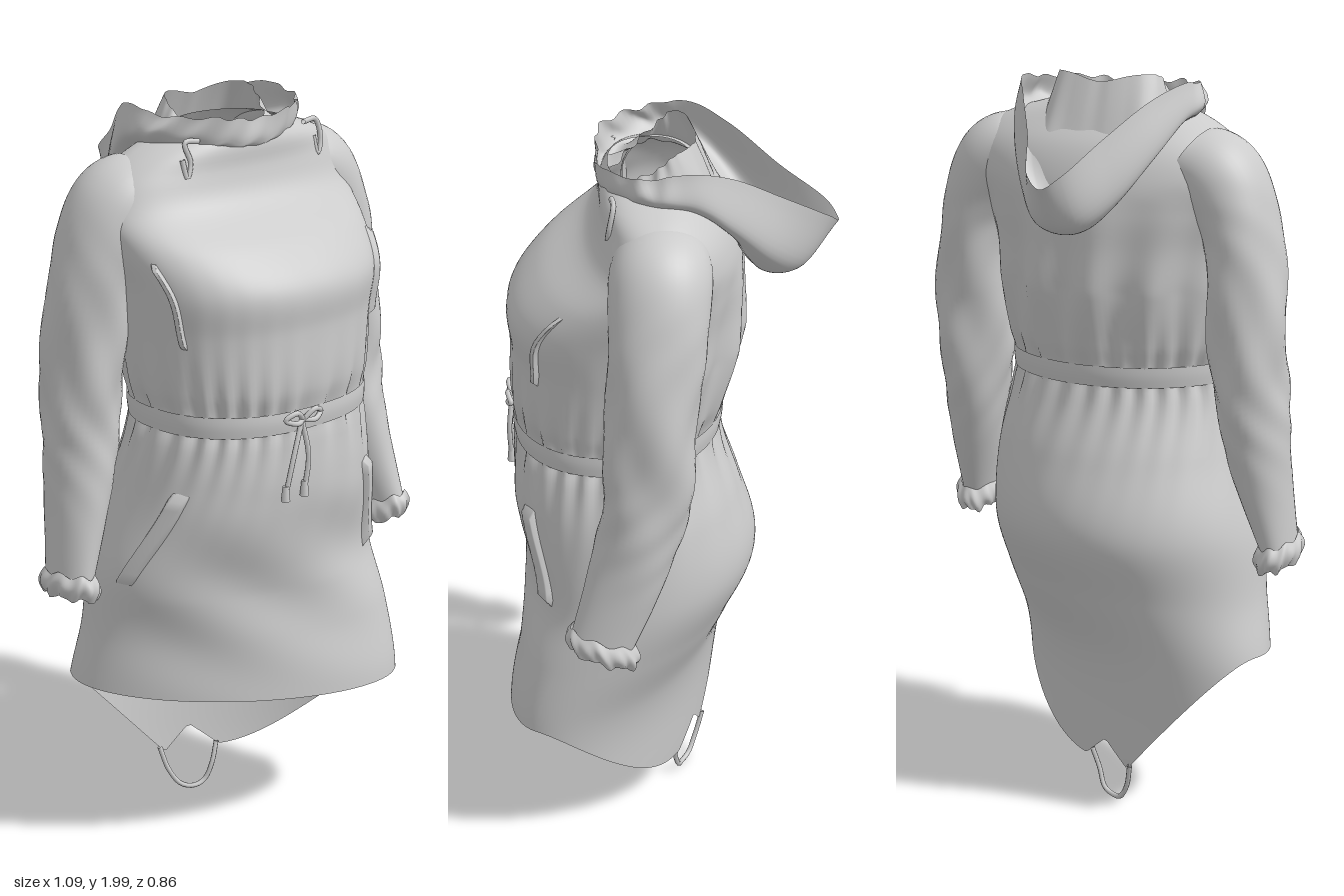
import * as THREE from 'three';

const material = new THREE.MeshStandardMaterial({ color: 0xcccccc, side: THREE.DoubleSide, roughness: 0.9 });
const V = (x, y, z) => new THREE.Vector3(x, y, z);
const WAIST = 1.22;

// Surface from a rule fn(u, v); u wraps round when closed
function surface(name, fn, nu, nv, closed = true) {
  const pos = [], idx = [], cols = closed ? nu : nu + 1;
  for (let j = 0; j <= nv; j++)
    for (let i = 0; i < cols; i++) pos.push(...fn(i / nu, j / nv).toArray());
  for (let j = 0; j < nv; j++)
    for (let i = 0; i < nu; i++) {
      const k = (i + 1) % cols;
      const a = j * cols + i, b = j * cols + k, c = a + cols, d = b + cols;
      idx.push(a, b, c, b, d, c);
    }
  const g = new THREE.BufferGeometry();
  g.setAttribute('position', new THREE.Float32BufferAttribute(pos, 3));
  g.setIndex(idx);
  g.computeVertexNormals();
  const m = new THREE.Mesh(g, material);
  m.name = name;
  return m;
}

// Smooth lookup in a table whose first column is the key
function table(rows) {
  const n = rows[0].length - 1;
  const f = new THREE.CubicInterpolant(rows.map(r => r[0]), rows.flatMap(r => r.slice(1)), n, new Array(n));
  return t => f.evaluate(t);
}

function tube(name, pts, r = 0.006) {
  const m = new THREE.Mesh(new THREE.TubeGeometry(new THREE.CatmullRomCurve3(pts), 28, r, 7), material);
  m.name = name;
  return m;
}

// Body sections: height, centre x, centre z, half width, front depth, back depth, twist
const section = table([
  [0.1, -0.03, 0.14, 0.43, 0.21, 0.20, 0.48],
  [0.44, -0.045, 0.14, 0.45, 0.215, 0.25, 0.48],
  [0.62, -0.03, 0.13, 0.42, 0.225, 0.31, 0.38],
  [0.8, -0.02, 0.10, 0.395, 0.26, 0.345, 0.2],
  [1.0, 0, 0.10, 0.355, 0.295, 0.30, 0.06],
  [1.16, 0, 0.12, 0.32, 0.27, 0.265, 0],
  [1.22, 0, 0.12, 0.305, 0.26, 0.255, 0],
  [1.3, 0, 0.11, 0.325, 0.285, 0.27, 0],
  [1.45, 0, 0.10, 0.345, 0.295, 0.295, 0],
  [1.56, 0, 0.10, 0.36, 0.295, 0.30, 0],
  [1.65, 0, 0.07, 0.38, 0.25, 0.27, 0],
  [1.74, 0.005, 0.02, 0.39, 0.18, 0.205, 0],
  [1.82, 0.015, 0.01, 0.355, 0.155, 0.16, 0],
  [1.88, 0.02, 0.02, 0.265, 0.14, 0.12, 0],
  [1.92, 0.01, 0.03, 0.14, 0.11, 0.10, 0],
]);

// Point on the body at angle a and height y, pushed out by off; the bodice front is squarer
function bodyPoint(a, y, off = 0) {
  const [cx, cz, w, f, b, rot] = section(y);
  const front = Math.sin(a) > 0;
  const e = front ? 1 - 0.15 * THREE.MathUtils.smoothstep(y, 0.6, 1.1) : 1;
  const power = c => Math.sign(c) * Math.abs(c) ** e;
  const lx = (w + off) * power(Math.cos(a));
  const lz = ((front ? f : b) + off) * power(Math.sin(a));
  const c = Math.cos(rot), s = Math.sin(rot);
  return V(cx + lx * c - lz * s, y, cz + lx * s + lz * c);
}

// Gathers at the waist, loose folds across the back and soft drapes on the skirt
function folds(a, y) {
  const near = Math.exp(-Math.abs(y - WAIST) / 0.08);
  const gather = 0.013 * near * Math.sin(27 * a + 2 * Math.sin(3 * a) + 5 * y);
  const band = Math.max(0, 1 - Math.abs(y - 1.45) / 0.25);
  const back = Math.sin(a) < 0 ? 0.016 * band * -Math.sin(a) * Math.sin(13 * a + 7 * y) : 0;
  const low = Math.max(0, 1 - Math.abs(y - 0.75) / 0.3);
  const drape = Math.sin(a) > 0 ? 0.008 * low * Math.sin(a) * Math.sin(24 * y + 6 * Math.cos(a)) : 0;
  return gather + back + drape;
}

// Straight front hem, long tapering back with an off-centre notch
function hem(a) {
  const edge = 0.45 - 0.03 * Math.cos(a);
  if (Math.sin(a) >= 0) return edge;
  const s = Math.cos(a) + 0.2;
  const d = s > 0 ? s / 1.2 : -s / 0.8, tip = s > 0 ? 0.16 : 0.22;
  if (d < tip) return 0.185 - 0.07 * d / tip;
  return 0.115 + (edge - 0.115) * ((d - tip) / (1 - tip)) ** (s > 0 ? 1.9 : 1.05);
}

// Raised patch that follows the body, leaning by slant in angle
function patch(name, a, da, y0, y1, slant) {
  return surface(name, (u, v) => {
    const border = Math.min(u, 1 - u, v, 1 - v) < 0.01;
    const ang = a + (u - 0.5) * da + (v - 0.5) * slant;
    return bodyPoint(ang, y0 + (y1 - y0) * v, border ? -0.005 : 0.014);
  }, 8, 12, false);
}

// Sleeve rows: step, x, y, z, half thickness, half depth; ends in a ruffled cuff
function sleeve(name, side, rows) {
  const at = table(rows), last = rows.length - 1, g = new THREE.Group();
  g.name = name;
  const ring = (u, t, out) => {
    const p = [...at(t)], q = [...at(Math.min(t + 0.03, last))], o = [...at(Math.max(t - 0.03, 0))];
    const tan = V(q[0] - o[0], q[1] - o[1], q[2] - o[2]).normalize();
    const across = V(0, 0, 1).cross(tan).normalize(), deep = tan.clone().cross(across);
    const a = u * Math.PI * 2;
    const pt = V(p[0], p[1], p[2]).addScaledVector(across, (p[3] + out) * Math.cos(a))
      .addScaledVector(deep, (p[4] + out) * Math.sin(a));
    pt.x *= side;
    return pt;
  };
  g.add(surface(name + 'Cloth', (u, v) => {
    const t = v * last, a = u * Math.PI * 2;
    const elbow = Math.exp(-(((t - 3.4) / 1.2) ** 2));
    const crease = 0.006 * Math.sin(3 * a + 3 * t) + 0.004 * Math.sin(5 * a - 7 * t + 2 * Math.sin(2 * t));
    return ring(u, t, crease * elbow);
  }, 40, 80));
  g.add(surface(name + 'Cuff', (u, v) => {
    const a = u * Math.PI * 2, bulge = Math.sin(v * Math.PI);
    const pt = ring(u, last, 0.003 + 0.014 * bulge + 0.006 * Math.sin(13 * a + 4 * v) * v);
    pt.y += 0.012 - 0.065 * v + 0.006 * Math.sin(7 * a);
    return pt;
  }, 72, 10));
  return g;
}

// Hood laid back: four loops (half given, mirrored) from the rim to the raised neck edge
function hood() {
  const halves = [
    [[0, 1.94, .165], [.12, 1.955, .16], [.22, 1.96, .06], [.225, 1.975, -.06], [.175, 1.94, -.16], [.1, 1.855, -.29], [.045, 1.78, -.41], [0, 1.75, -.435]],
    [[0, 1.89, .17], [.13, 1.9, .145], [.245, 1.915, .04], [.235, 1.89, -.07], [.2, 1.82, -.16], [.13, 1.71, -.26], [.06, 1.645, -.33], [0, 1.63, -.34]],
    [[0, 1.87, .16], [.12, 1.88, .135], [.2, 1.88, .03], [.18, 1.86, -.07], [.15, 1.78, -.16], [.1, 1.69, -.21], [.05, 1.64, -.235], [0, 1.625, -.24]],
    [[0, 1.87, .14], [.09, 1.9, .09], [.14, 1.95, .02], [.14, 1.985, -.02], [.11, 1.99, -.05], [.07, 1.985, -.065], [.03, 1.975, -.075], [0, 1.97, -.075]],
  ];
  const loops = halves.map(h => {
    const back = h.slice(1, -1).reverse().map(([x, y, z]) => [-x, y, z]);
    return new THREE.CatmullRomCurve3([...h, ...back].map(p => V(...p)), true, 'centripetal');
  });
  return surface('hood', (u, v) => {
    const p = new THREE.CatmullRomCurve3(loops.map(l => l.getPoint(u))).getPoint(v);
    const front = Math.max(0, Math.min(1, (p.z + 0.05) / 0.12));
    const ripple = 0.005 * front * Math.sin(u * 2 * Math.PI * 23 + 5 * v);
    return p.add(V(p.x * ripple * 4, ripple, ripple * 0.8));
  }, 140, 24);
}

export function createModel() {
  const coat = new THREE.Group();
  coat.name = 'hoodedCoat';
  const full = Math.PI * 2;

  // Bodice and skirt
  coat.add(surface('bodice', (u, v) => {
    const y = 1.92 + (WAIST - 1.92) * v;
    return bodyPoint(u * full, y, folds(u * full, y));
  }, 160, 56));
  coat.add(surface('skirt', (u, v) => {
    const a = u * full, y = WAIST + (hem(a) - WAIST) * v;
    return bodyPoint(a, y, folds(a, y));
  }, 200, 56));

  // Waist belt, with its tie at the front
  coat.add(surface('belt', (u, v) =>
    bodyPoint(u * full, 1.25 - 0.055 * v, 0.01 + 0.006 * Math.sin(v * Math.PI)), 120, 6));
  const tie = new THREE.Group();
  tie.name = 'beltTie';
  for (const s of [-1, 1]) {
    tie.add(tube('bowLoop', [V(-.05, 1.225, .4), V(-.05 + s * .03, 1.25, .41), V(-.05 + s * .06, 1.235, .4),
      V(-.05 + s * .03, 1.222, .41), V(-.05, 1.225, .4)], .007));
    const x = s < 0 ? -.115 : -.05;
    tie.add(tube('tieEnd', [V(-.055, 1.225, .4), V((x - .05) / 2 + s * .01, 1.13, .41), V(x, 1.04, .408)], .007));
    const tip = new THREE.Mesh(new THREE.CylinderGeometry(.008, .012, .04, 8), material);
    tip.name = 'tieTip';
    tip.position.set(x, 1.045, .408);
    tie.add(tip);
  }
  coat.add(tie);

  // Sleeves hang differently: the left swings forward
  coat.add(sleeve('leftSleeve', 1, [
    [0, .25, 1.785, .01, .095, .115], [1, .33, 1.74, .015, .112, .125], [2, .395, 1.6, .025, .1, .118],
    [3, .422, 1.4, .04, .1, .112], [4, .43, 1.2, .052, .095, .108], [5, .45, 1.0, .1, .073, .098],
    [6, .475, .81, .165, .048, .082]]));
  coat.add(sleeve('rightSleeve', -1, [
    [0, .23, 1.78, -.01, .095, .115], [1, .31, 1.73, -.015, .112, .125], [2, .37, 1.6, -.025, .1, .12],
    [3, .395, 1.4, -.04, .1, .115], [4, .408, 1.2, -.045, .095, .11], [5, .435, 1.0, -.03, .077, .098],
    [6, .48, .79, -.01, .046, .082]]));

  coat.add(hood());

  // Pockets on skirt and slanted welts on the chest
  for (const s of [1, -1]) {
    const mid = Math.PI / 2, label = s > 0 ? 'left' : 'right', side = s > 0 ? 0.82 : -1.15;
    coat.add(patch(label + 'SkirtPocket', mid - side, 0.2, 0.78, 1.05, s > 0 ? 0.35 : -0.1));
    coat.add(patch(label + 'ChestWelt', mid - side, 0.06, 1.42, 1.64, -s * 0.1));
    // Neck drawcords
    const x = s > 0 ? .24 : -.2;
    coat.add(tube(label + 'Drawcord', [V(x * .8, 1.9, .13), V(x, 1.9, .125), V(x + .01, 1.85, .135),
      V(x - .005, 1.815, .14), V(x - .012, 1.86, .13)], .007));
  }

  // Elastic loop below the back notch
  coat.add(tube('hemLoop', [V(-.1, .13, -.11), V(-.083, .06, -.09), V(-.055, .015, -.07), V(-.025, .007, -.05),
    V(.005, .02, -.04), V(.025, .07, -.03), V(.045, .13, -.035)], .007));
  return coat;
}
